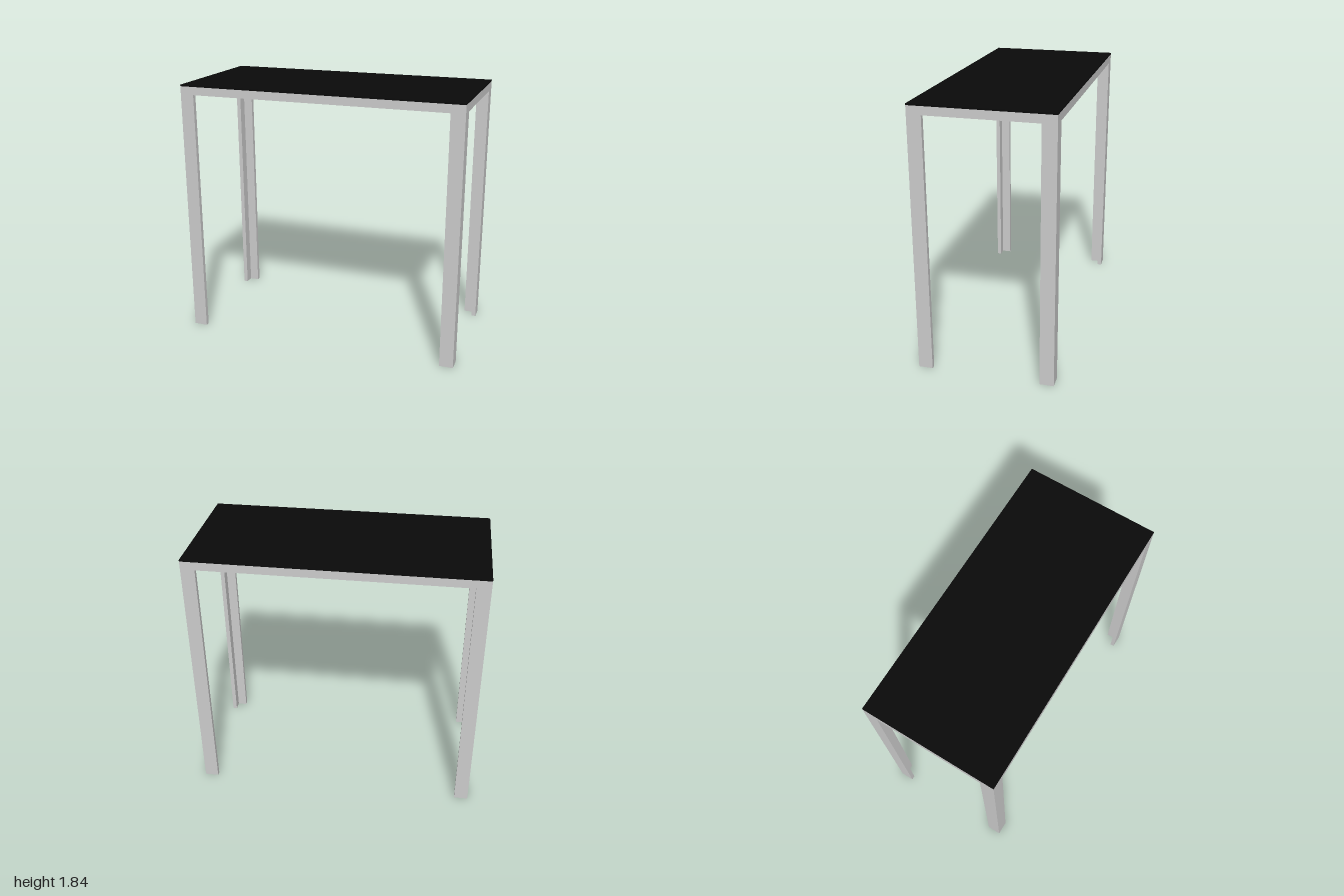
import * as THREE from 'three';

const WIDTH = 2, DEPTH = 0.94;
const UNDERSIDE = 1.767, SLAB_TOP = 1.824, TOP = 1.835;
const LEG = 0.097, WALL = 0.03;

export function createModel() {
  const table = new THREE.Group();
  table.name = 'table';
  const grey = new THREE.MeshStandardMaterial({ color: 0xcccccc });
  const black = new THREE.MeshStandardMaterial({ color: 0x0a0a0a });

  // Full-size slab between two heights
  const addSlab = (name, y0, y1, material) => {
    const slab = new THREE.Mesh(new THREE.BoxGeometry(WIDTH, y1 - y0, DEPTH), material);
    slab.name = name;
    slab.position.y = (y0 + y1) / 2;
    table.add(slab);
  };
  addSlab('frame', UNDERSIDE, SLAB_TOP, grey);
  addSlab('tabletop', SLAB_TOP, TOP, black);

  // Angle-section leg: outer corner at the origin, arms along +x and +y of the shape
  const section = new THREE.Shape([
    [0, 0], [LEG, 0], [LEG, WALL], [WALL, WALL], [WALL, LEG], [0, LEG],
  ].map(([x, y]) => new THREE.Vector2(x, y)));
  const legGeometry = new THREE.ExtrudeGeometry(section, { depth: UNDERSIDE, bevelEnabled: false });
  legGeometry.rotateX(-Math.PI / 2); // upright, arms along +x and -z

  // Quarter turns keep each angle opening towards the table's middle
  const corners = [
    ['frontRightLeg', -1, 1, 0],
    ['frontLeftLeg', 1, 1, 1],
    ['backLeftLeg', 1, -1, 2],
    ['backRightLeg', -1, -1, 3],
  ];
  for (const [name, sx, sz, turns] of corners) {
    const leg = new THREE.Mesh(legGeometry, grey);
    leg.name = name;
    leg.position.set(sx * WIDTH / 2, 0, sz * DEPTH / 2);
    leg.rotation.y = turns * Math.PI / 2;
    table.add(leg);
  }
  return table;
}
